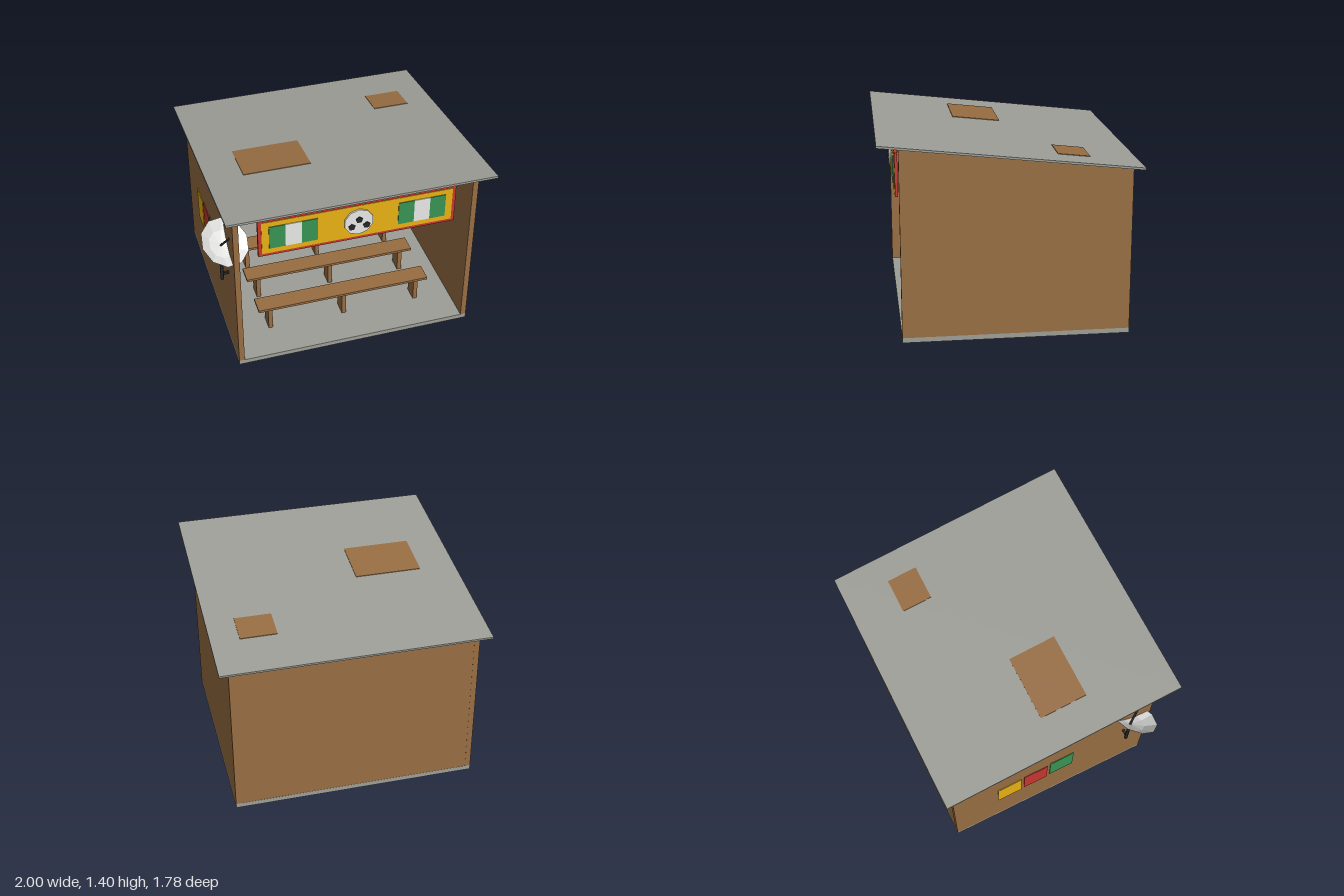
import * as THREE from 'three';

const mat = (name, color) => {
  const m = new THREE.MeshStandardMaterial({ color });
  m.name = name;
  return m;
};

export function createModel() {
  const wood = mat('brown wood', 0x976d42);
  const grey = mat('grey concrete and tin', 0x9e9e98);
  const red = mat('red', 0xc6372f);
  const yellow = mat('yellow', 0xebb313);
  const green = mat('green', 0x389353);
  const white = mat('white', 0xe8e8e6);
  const dark = mat('black', 0x262628);
  const screenBlue = mat('screen blue', 0x2d4454);
  const dishWhite = mat('dish white', 0xe6e6e4);
  dishWhite.side = THREE.DoubleSide;
  dishWhite.flatShading = true;

  const model = new THREE.Group();
  model.name = 'viewingHut';
  const add = (name, geo, material, parent = model) => {
    const mesh = new THREE.Mesh(geo, material);
    mesh.name = name;
    parent.add(mesh);
    return mesh;
  };
  // Box given by its low and high limits on each axis
  const box = (name, material, [x0, x1], [y0, y1], [z0, z1], parent = model) => {
    const m = add(name, new THREE.BoxGeometry(x1 - x0, y1 - y0, z1 - z0), material, parent);
    m.position.set((x0 + x1) / 2, (y0 + y1) / 2, (z0 + z1) / 2);
    return m;
  };
  const group = (name) => {
    const g = new THREE.Group();
    g.name = name;
    model.add(g);
    return g;
  };

  // Floor slab and walls
  box('floor', grey, [-0.81, 0.93], [0, 0.035], [-0.825, 0.745]);
  box('backWall', wood, [-0.785, 0.905], [0.035, 1.18], [-0.824, -0.79]);
  const side = new THREE.Shape([
    new THREE.Vector2(-0.825, 0.035), new THREE.Vector2(0.745, 0.035),
    new THREE.Vector2(0.745, 1.358), new THREE.Vector2(-0.825, 1.18),
  ]);
  const sideGeo = new THREE.ExtrudeGeometry(side, { depth: 0.04, bevelEnabled: false }).rotateY(-Math.PI / 2);
  add('rightWall', sideGeo, wood).position.x = -0.77;
  add('leftWall', sideGeo, wood).position.x = 0.93;
  box('frontBeam', wood, [-0.77, 0.89], [1.31, 1.356], [0.705, 0.744]);

  // Sloping roof with two rusty patches
  const roof = group('roof');
  roof.position.y = 1.288;
  roof.rotation.x = -0.112;
  box('roofSheet', grey, [-0.88, 1], [-0.0075, 0.0075], [-0.895, 0.895], roof);
  box('roofPatch', wood, [-0.62, -0.14], [0.0075, 0.0115], [-0.05, 0.3], roof);
  box('roofPatch', wood, [0.54, 0.8], [0.0075, 0.0115], [-0.553, -0.332], roof);

  // Sign board with two flags and a ball
  const sign = group('sign');
  box('signFrame', red, [-0.645, 0.755], [0.983, 1.288], [0.745, 0.765], sign);
  box('signPanel', yellow, [-0.62, 0.73], [1.005, 1.266], [0.762, 0.769], sign);
  for (const x of [-0.57, 0.34]) {
    [green, white, green].forEach((m, i) => {
      const a = x + i * 0.1133;
      box('flagStripe', m, [a, a + 0.1133], [1.045, 1.225], [0.767, 0.774], sign);
    });
  }
  const disc = (name, material, r, sides, depth, x, y, z, turn = 0) => {
    const geo = new THREE.CylinderGeometry(r, r, depth, sides).rotateX(Math.PI / 2).rotateZ(turn);
    add(name, geo, material, sign).position.set(x, y, z);
  };
  disc('ball', white, 0.104, 10, 0.014, 0.055, 1.135, 0.774);
  for (const [x, y] of [[0.056, 1.155], [0.004, 1.102], [0.11, 1.102]]) {
    disc('ballSpot', dark, 0.027, 5, 0.006, x, y, 0.783, Math.PI);
  }

  // Television, shelf and cable on the back wall
  box('televisionFrame', dark, [-0.4, 0.515], [0.53, 1.045], [-0.79, -0.75]);
  box('televisionScreen', screenBlue, [-0.37, 0.485], [0.56, 1.015], [-0.752, -0.746]);
  box('shelf', wood, [-0.07, 0.19], [0.366, 0.382], [-0.79, -0.66]);
  box('decoder', dark, [-0.055, 0.105], [0.382, 0.413], [-0.77, -0.68]);
  box('cable', dark, [0.468, 0.478], [0.035, 0.413], [-0.79, -0.78]);

  // Three rows of benches
  for (const z of [0.42, 0.065, -0.29]) {
    const bench = group('bench');
    bench.position.z = z;
    box('benchSeat', wood, [-0.595, 0.71], [0.215, 0.234], [-0.07, 0.07], bench);
    for (const x of [-0.505, 0.06, 0.625]) {
      box('benchLeg', wood, [x - 0.016, x + 0.016], [0.035, 0.215], [-0.055, 0.055], bench);
    }
  }

  // Generator in the back corner
  const generator = group('generator');
  box('generatorBody', red, [0.657, 0.857], [0.065, 0.21], [-0.72, -0.56], generator);
  box('generatorTank', red, [0.69, 0.825], [0.21, 0.26], [-0.7, -0.58], generator);
  box('generatorPlug', dark, [0.65, 0.664], [0.252, 0.266], [-0.647, -0.633], generator);
  for (const x of [0.68, 0.81]) {
    box('generatorSkid', wood, [x, x + 0.025], [0.035, 0.065], [-0.72, -0.56], generator);
  }

  // Posters on the right-hand outer wall
  [[yellow, -0.475, 0.44], [red, -0.265, 0.46], [green, -0.055, 0.488]].forEach(([m, z, y]) =>
    box('poster', m, [-0.815, -0.809], [y, y + 0.27], [z, z + 0.187]));

  // Satellite dish: shallow faceted bowl, feed arm and pole
  const dish = group('satelliteDish');
  dish.position.set(-0.853, 0.966, 0.55);
  dish.quaternion.setFromUnitVectors(
    new THREE.Vector3(0, 1, 0), new THREE.Vector3(0.33, 0.77, 0.55).normalize());
  const bowl = [[0, 0], [0.1, 0.022], [0.18, 0.068]].map(([x, y]) => new THREE.Vector2(x, y));
  add('dishBowl', new THREE.LatheGeometry(bowl, 10), dishWhite, dish);
  add('feedArm', new THREE.CylinderGeometry(0.008, 0.008, 0.15, 6), dark, dish).position.y = 0.075;
  const pole = add('dishPole', new THREE.CylinderGeometry(0.012, 0.012, 0.31, 8), dark);
  pole.position.set(-0.858, 0.815, 0.545);
  box('poleBracket', dark, [-0.858, -0.81], [0.7, 0.72], [0.537, 0.553]);

  return model;
}
